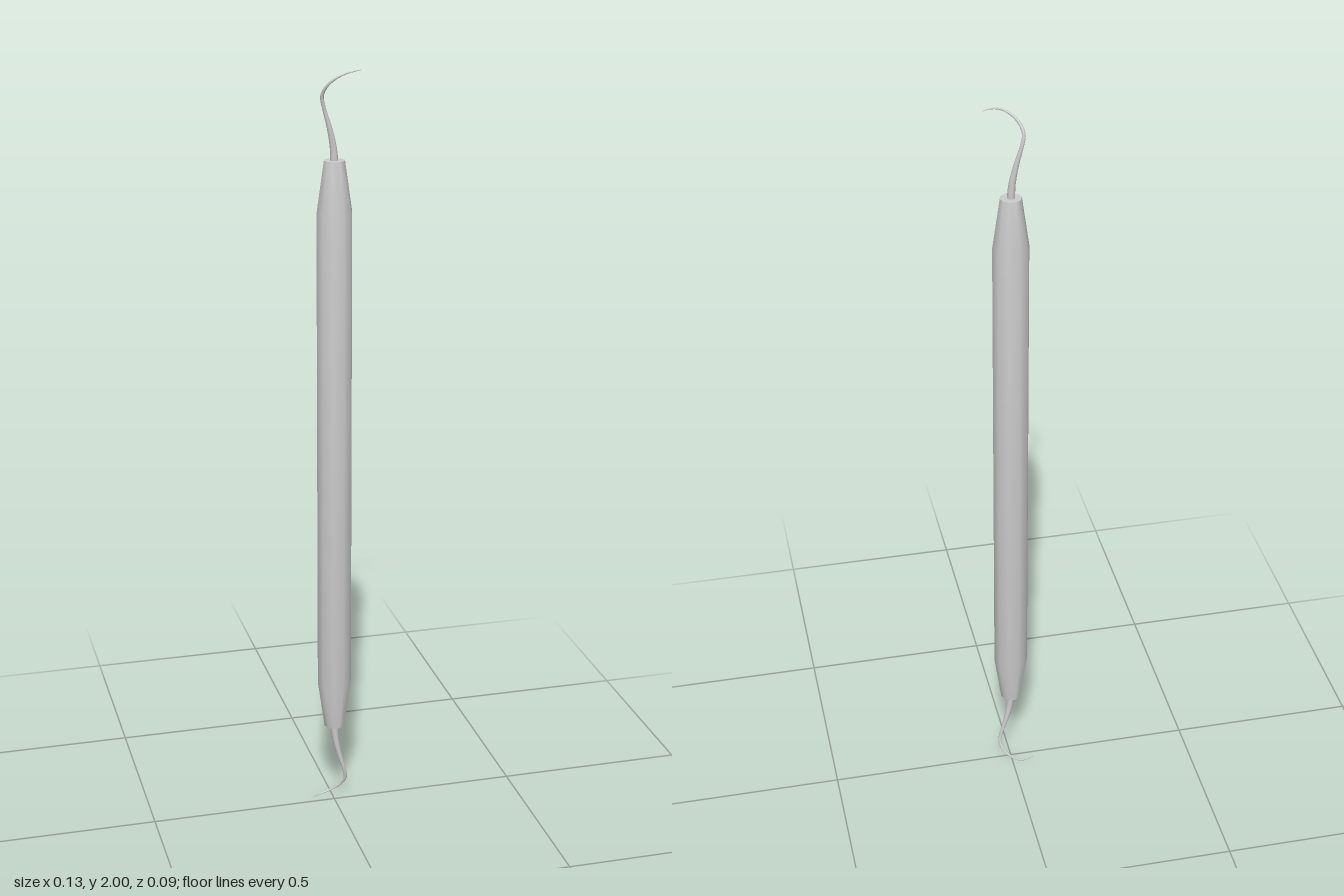
import * as THREE from 'three';
import { toCreasedNormals } from 'three/addons/utils/BufferGeometryUtils.js';

const material = new THREE.MeshStandardMaterial({ color: 0xcccccc });

// Ten-sided grip with tapered ends
function createHandle() {
  const profile = [[0, 0.228], [0.027, 0.228], [0.046, 0.36], [0.046, 1.645], [0.027, 1.777], [0, 1.777]]
    .map(([r, y]) => new THREE.Vector2(r, y));
  const geometry = new THREE.LatheGeometry(profile, 10, Math.PI / 2);
  const handle = new THREE.Mesh(toCreasedNormals(geometry, 0.7), material);
  handle.name = 'handle';
  return handle;
}

// Curved shank and hook, thinning to a point; side -1 is the opposite end
function createHook(side, name) {
  const path = new THREE.CatmullRomCurve3([
    [0, 0.765, 0], [-0.003, 0.81, 0], [-0.013, 0.86, 0], [-0.027, 0.91, 0],
    [-0.032, 0.938, 0.004], [-0.023, 0.963, 0.016], [-0.004, 0.982, 0.027],
    [0.02, 0.994, 0.032], [0.043, 0.998, 0.028], [0.064, 0.999, 0.016],
  ].map(([x, y, z]) => new THREE.Vector3(x * side, 1 + y * side, z * side)));

  const rings = 56, sides = 10;
  const geometry = new THREE.TubeGeometry(path, rings, 1, sides);
  const position = geometry.attributes.position;
  const vertex = new THREE.Vector3();
  for (let i = 0; i <= rings; i++) {
    const t = i / rings;
    const radius = t < 0.45
      ? THREE.MathUtils.lerp(0.0105, 0.0048, t / 0.45)
      : THREE.MathUtils.lerp(0.0048, 0.0006, ((t - 0.45) / 0.55) ** 1.6);
    const center = path.getPointAt(t);
    for (let j = 0; j <= sides; j++) {
      const k = i * (sides + 1) + j;
      vertex.fromBufferAttribute(position, k).sub(center).multiplyScalar(radius).add(center);
      position.setXYZ(k, vertex.x, vertex.y, vertex.z);
    }
  }
  const hook = new THREE.Mesh(geometry, material);
  hook.name = name;
  return hook;
}

export function createModel() {
  const model = new THREE.Group();
  model.name = 'doubleEndedScaler';
  model.add(createHandle(), createHook(1, 'upperHook'), createHook(-1, 'lowerHook'));
  return model;
}
